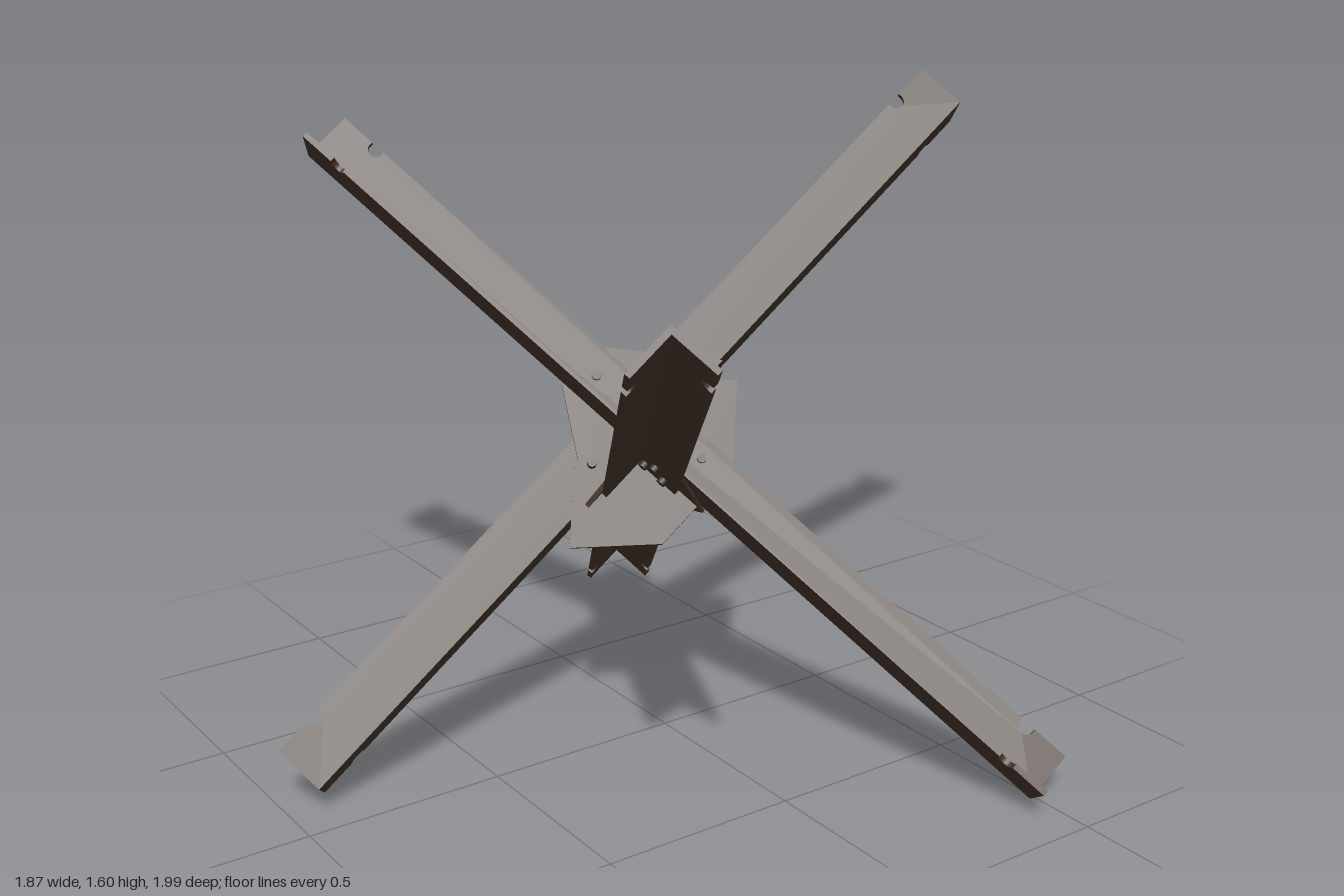
import * as THREE from 'three';

const steel = new THREE.MeshStandardMaterial({ color: 0x44342a });
steel.name = 'rusty steel';
const boltSteel = new THREE.MeshStandardMaterial({ color: 0x33281f });
boltSteel.name = 'dark bolt steel';

const LENGTH = 2.375, WIDTH = 0.132, THICK = 0.014;
const X = new THREE.Vector3(1, 0, 0);
const Y = new THREE.Vector3(0, 1, 0);
const Z = new THREE.Vector3(0, 0, 1);
const neg = (v) => v.clone().negate();

// Flat shape laid in the plane (e1, e2), thickened from 0 to depth along side
function slab(name, shape, e1, e2, side, depth, origin) {
  const geo = new THREE.ExtrudeGeometry(shape, { depth, bevelEnabled: false, curveSegments: 8 });
  const e3 = e1.clone().cross(e2);
  if (e3.dot(side) < 0) geo.translate(0, 0, -depth);
  geo.applyMatrix4(new THREE.Matrix4().makeBasis(e1, e2, e3).setPosition(origin));
  const mesh = new THREE.Mesh(geo, steel);
  mesh.name = name;
  return mesh;
}

// One leg of an angle beam, with a round notch near each end of its free edge
function legShape(start) {
  const h = LENGTH / 2, n = h - 0.115, r = 0.02, d = WIDTH - 0.008;
  const s = new THREE.Shape();
  s.moveTo(-h, start);
  s.lineTo(h, start);
  s.lineTo(h, WIDTH);
  for (const c of [n, -n]) {
    s.lineTo(c + r, WIDTH);
    s.lineTo(c + r, d);
    s.absarc(c, d, r, 0, -Math.PI, true);
    s.lineTo(c - r, WIDTH);
  }
  s.lineTo(-h, WIDTH);
  s.closePath();
  return s;
}

// L-section beam along axis, its legs pointing to p and q from the outer corner
function angleBeam(name, axis, p, q, corner) {
  const beam = new THREE.Group();
  beam.name = name;
  beam.add(slab('beamLeg', legShape(0), axis, p, q, THICK, corner));
  beam.add(slab('beamLeg', legShape(THICK), axis, q, p, THICK, corner));
  return beam;
}

function gusset(name, points, e1, e2, side, depth, origin) {
  const shape = new THREE.Shape(points.map(([u, v]) => new THREE.Vector2(u, v)));
  return slab(name, shape, e1, e2, side, depth, origin);
}

// Bolts passing through the plane (e1, e2)
function bolts(points, e1, e2) {
  const normal = e1.clone().cross(e2);
  const set = new THREE.Group();
  set.name = 'bolts';
  for (const [u, v] of points) {
    const bolt = new THREE.Mesh(new THREE.CylinderGeometry(0.012, 0.012, 0.066, 8), boltSteel);
    bolt.name = 'bolt';
    bolt.quaternion.setFromUnitVectors(Y, normal);
    bolt.position.addScaledVector(e1, u).addScaledVector(e2, v);
    set.add(bolt);
  }
  return set;
}

export function createModel() {
  const model = new THREE.Group();
  model.name = 'antiTankObstacle';
  const cross = new THREE.Group();
  cross.name = 'crossedBeams';
  const V = (x, y, z) => new THREE.Vector3(x, y, z);

  // Three mutually square beams, back to back at the middle
  cross.add(
    angleBeam('firstBeam', X, Y, neg(Z), V(-0.051, 0.008, -0.005)),
    angleBeam('secondBeam', Y, Z, X, V(0.011, 0.07, 0.004)),
    angleBeam('thirdBeam', Z, neg(Y), neg(X), V(-0.011, -0.007, 0.082)),
  );

  // Gusset plates held between the beams
  cross.add(
    gusset('sideGusset', [[-0.25, 0], [-0.25, 0.135], [0, 0.32], [0, -0.18]],
      Y, Z, X, 0.01, V(-0.0105, 0, 0)),
    gusset('wideGusset', [[0.06, 0.305], [-0.09, 0.13], [-0.09, -0.13], [0.04, -0.29], [0.2, -0.13], [0.2, 0.13]],
      Y, Z, X, 0.01, V(0.0005, 0, 0)),
    gusset('lowerGusset', [[-0.27, 0], [-0.25, 0.11], [0, 0.22], [0.14, 0.13], [0.17, 0.01], [0, -0.08]],
      X, Y, Z, 0.008, V(0, 0, -0.0045)),
    gusset('rearGusset', [[-0.12, -0.22], [-0.01, -0.22], [0.12, 0], [-0.27, 0]],
      X, Z, Y, 0.012, V(0, -0.005, 0)),
  );

  // Bolts
  cross.add(
    bolts([[-0.115, 0.17], [-0.06, 0.23], [-0.05, 0.07], [0.13, 0.09], [-0.2, 0.07], [-0.06, -0.1]], Y, Z),
    bolts([[-0.22, 0.045], [-0.16, 0.09], [0.06, 0.04], [0.06, 0.1], [0.11, 0.07]], X, Y),
    bolts([[-0.04, -0.1], [-0.1, -0.1], [-0.07, -0.17]], X, Z),
  );

  // Tip the square cross so that it stands on three beam ends
  const a = V(0.735, 0.521, 0.433).normalize();
  const b = V(0.67, -0.59, -0.43);
  b.addScaledVector(a, -a.dot(b)).normalize();
  const c = a.clone().cross(b);
  cross.quaternion.setFromRotationMatrix(new THREE.Matrix4().makeBasis(a, b, c));
  cross.position.set(-0.023, 0.753, 0.066);
  model.add(cross);

  // Stand on the ground, centred
  model.updateMatrixWorld(true);
  const box = new THREE.Box3().setFromObject(model, true);
  const mid = box.getCenter(V(0, 0, 0));
  cross.position.sub(V(mid.x, box.min.y, mid.z));
  return model;
}
